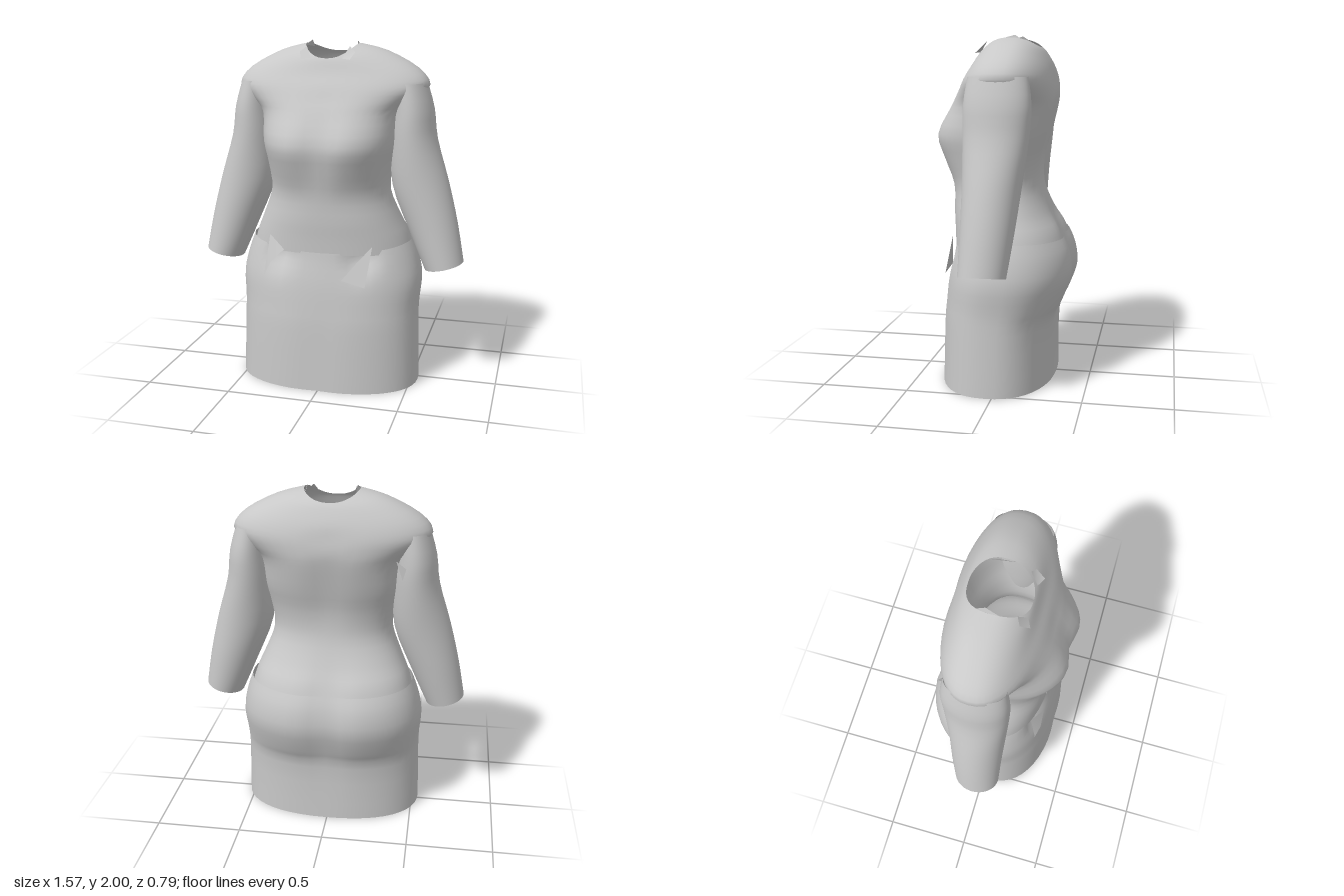
import * as THREE from 'three';

const SEG = 48;

// Catmull-Rom blend between rows of section values
function refine(rows, steps) {
  const out = [];
  const last = rows.length - 1;
  for (let i = 0; i < last; i++) {
    const [p, q, r, s] = [rows[Math.max(i - 1, 0)], rows[i], rows[i + 1], rows[Math.min(i + 2, last)]];
    for (let k = 0; k < steps; k++) {
      const t = k / steps;
      out.push(q.map((v, n) => v + 0.5 * t * (r[n] - p[n] +
        t * (2 * p[n] - 5 * v + 4 * r[n] - s[n] + t * (3 * (v - r[n]) + s[n] - p[n])))));
    }
  }
  out.push(rows[last]);
  return out;
}

// Open tube through horizontal rings; ringPoint(row, cos, sin) gives [x, y, z]
function loft(rows, ringPoint, steps = 3) {
  const rings = refine(rows, steps);
  const pos = [];
  const index = [];
  rings.forEach((row, i) => {
    for (let j = 0; j < SEG; j++) {
      const a = (j / SEG) * Math.PI * 2;
      pos.push(...ringPoint(row, Math.cos(a), Math.sin(a)));
      if (i === rings.length - 1) continue;
      const p = i * SEG + j;
      const q = i * SEG + ((j + 1) % SEG);
      index.push(p, p + SEG, q, q, p + SEG, q + SEG);
    }
  });
  const g = new THREE.BufferGeometry();
  g.setAttribute('position', new THREE.Float32BufferAttribute(pos, 3));
  g.setIndex(index);
  g.computeVertexNormals();
  return g;
}

const power = (v, e) => Math.sign(v) * Math.abs(v) ** e;
const bump = (d, r) => Math.exp(-((d / r) ** 2));

// Body row: y, half width, front z, back z, side z, front cleft, back cleft, front rise, back rise
function bodyPoint([y, w, zf, zb, zc, cleftF, cleftB, riseF, riseB], c, s) {
  const x = w * power(c, 0.87);
  const depth = Math.abs(s) ** 0.87;
  const cleft = bump(x, 0.1);
  const z = s > 0 ? zc + (zf - zc) * depth - cleftF * cleft : zc + (zb - zc) * depth + cleftB * cleft;
  return [x, y + s * s * (s > 0 ? riseF : riseB), z];
}

// Skirt surface with a pinched hollow at each front hip
function skirtPoint(row, c, s) {
  const p = bodyPoint(row, c, s);
  if (s > 0) p[2] -= 0.06 * bump(Math.abs(p[0]) - 0.24, 0.07) * bump(p[1] - 0.79, 0.09);
  return p;
}

// Sleeve row: y, inner x, outer x, front z, back z, hem tilt
const sleevePoint = (side) => ([y, x0, x1, zf, zb, tilt], c, s) => [
  side * (x0 + x1) / 2 + c * (x1 - x0) / 2,
  y + side * c * tilt,
  (zf + zb) / 2 + s * (zf - zb) / 2,
];

// Small folded piece of cloth made from a fan of corners
function flap(points) {
  const g = new THREE.BufferGeometry();
  g.setAttribute('position', new THREE.Float32BufferAttribute(points.flat(), 3));
  const index = [];
  for (let i = 1; i < points.length - 1; i++) index.push(0, i, i + 1);
  g.setIndex(index);
  g.computeVertexNormals();
  return g;
}

export function createModel() {
  const group = new THREE.Group();
  const cloth = new THREE.MeshStandardMaterial({ color: 0xc8c8c8, side: THREE.DoubleSide });
  cloth.name = 'greyCloth';
  const add = (name, geometry) => {
    const mesh = new THREE.Mesh(geometry, cloth);
    mesh.name = name;
    group.add(mesh);
  };

  // Skirt, hem to waist seam
  add('skirt', loft([
    [0.0, 0.54, 0.37, -0.295, 0.04, 0.01, 0, 0, 0],
    [0.35, 0.53, 0.36, -0.3, 0.03, 0.01, 0.01, 0, 0],
    [0.48, 0.53, 0.348, -0.355, 0.02, 0.005, 0.03, 0, 0],
    [0.63, 0.54, 0.33, -0.41, 0.0, 0, 0.04, 0, 0],
    [0.76, 0.515, 0.308, -0.4, -0.02, 0, 0.04, 0, 0],
    [0.86, 0.48, 0.3, -0.36, -0.03, 0, 0.03, -0.04, -0.01],
  ], skirtPoint));

  // Bodice, waist seam to neckline
  add('bodice', loft([
    [0.81, 0.478, 0.295, -0.365, -0.03, 0, 0.03, 0, 0],
    [0.9, 0.45, 0.3, -0.33, -0.02, 0, 0.03, 0, 0],
    [1.0, 0.405, 0.308, -0.265, 0.0, 0, 0.01, 0, 0],
    [1.15, 0.35, 0.315, -0.205, 0.02, 0, 0, 0, 0],
    [1.3, 0.362, 0.375, -0.21, 0.01, 0.03, 0.01, 0, 0],
    [1.44, 0.392, 0.415, -0.25, -0.01, 0.05, 0.02, 0, 0],
    [1.6, 0.41, 0.325, -0.288, -0.02, 0.02, 0.02, 0, 0],
    [1.68, 0.49, 0.275, -0.29, -0.03, 0.01, 0.01, 0, 0],
    [1.755, 0.56, 0.23, -0.28, -0.03, 0, 0.01, 0, 0],
    [1.85, 0.49, 0.19, -0.255, -0.04, 0, 0, -0.03, -0.02],
    [1.945, 0.31, 0.16, -0.215, -0.05, 0, 0, -0.06, -0.04],
    [1.985, 0.155, 0.148, -0.19, -0.03, 0, 0, -0.08, -0.05],
  ], bodyPoint));

  // Sleeves, wrist opening up into the shoulder
  const sleeveRows = [
    [0.722, 0.565, 0.787, 0.15, -0.11, 0.027],
    [0.95, 0.462, 0.745, 0.15, -0.14, 0.02],
    [1.2, 0.36, 0.685, 0.155, -0.168, 0.01],
    [1.45, 0.35, 0.612, 0.162, -0.2, 0],
    [1.62, 0.36, 0.588, 0.16, -0.21, 0],
    [1.77, 0.36, 0.545, 0.14, -0.19, 0],
  ];
  add('leftSleeve', loft(sleeveRows, sleevePoint(1)));
  add('rightSleeve', loft(sleeveRows, sleevePoint(-1)));

  // Folded cloth at the hips and behind the right armpit
  add('leftHipFold', flap([[0.3, 0.87, 0.27], [0.22, 0.78, 0.29], [0.13, 0.67, 0.315], [0.27, 0.64, 0.325]]));
  add('rightHipFold', flap([[-0.31, 0.9, 0.25], [-0.34, 0.66, 0.29], [-0.29, 0.75, 0.31], [-0.21, 0.83, 0.305]]));
  add('armpitFold', flap([[-0.37, 1.62, -0.17], [-0.43, 1.6, -0.24], [-0.41, 1.52, -0.2]]));

  // Turned neckline points
  for (const side of [-1, 1]) {
    add(side > 0 ? 'leftCollarPoint' : 'rightCollarPoint', flap([
      [side * 0.09, 1.905, 0.145], [side * 0.14, 1.9, 0.17], [side * 0.16, 1.94, 0.12], [side * 0.125, 1.97, 0.1],
    ]));
    add(side > 0 ? 'leftNeckEdge' : 'rightNeckEdge', flap([
      [side * 0.155, 1.975, 0.03], [side * 0.135, 2.0, -0.06], [side * 0.14, 1.96, -0.12],
    ]));
  }
  return group;
}
